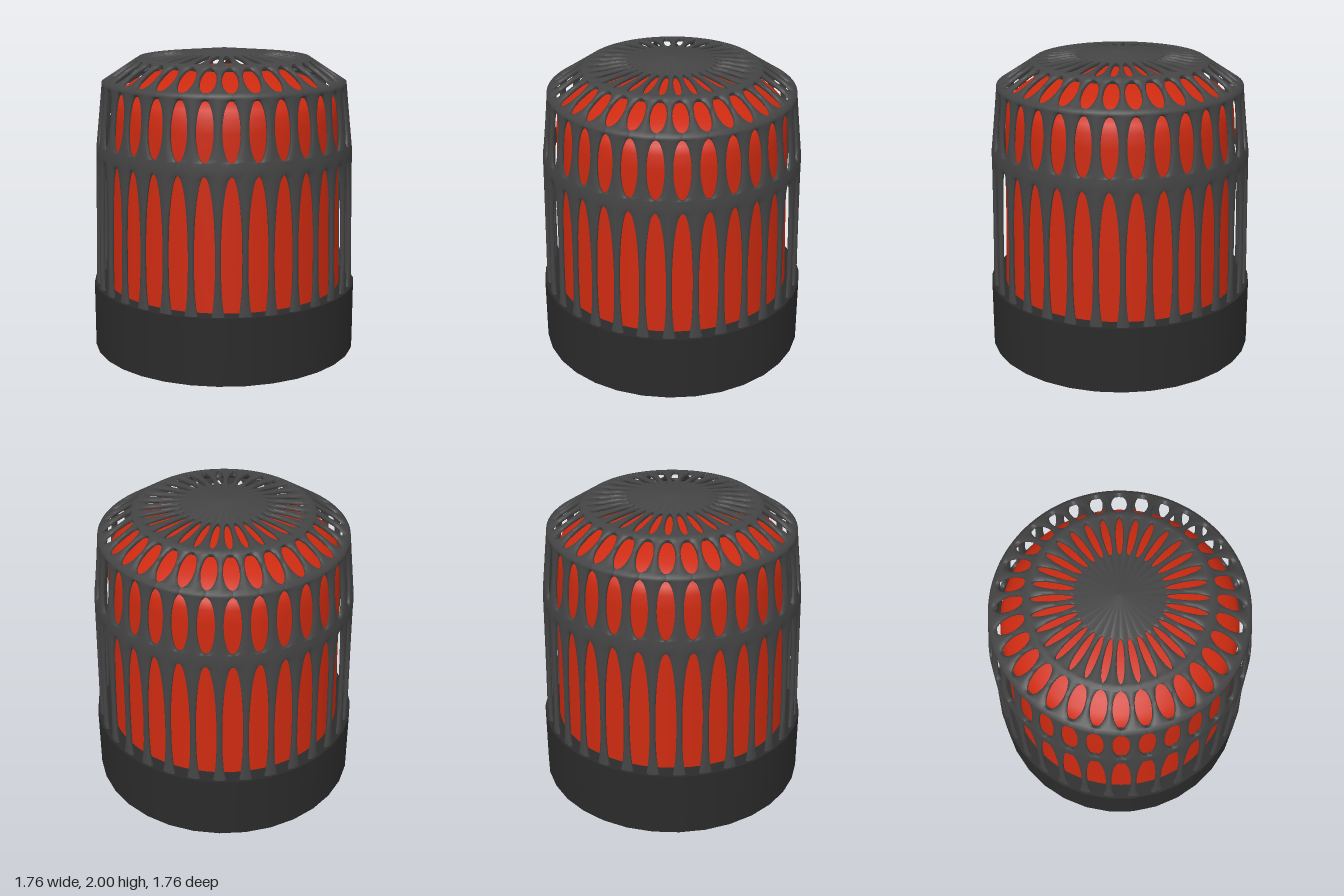
import * as THREE from 'three';
import { toCreasedNormals } from 'three/addons/utils/BufferGeometryUtils.js';

const RIBS = 32;
const THICK = 0.028;

// Outer profile of the cage, from the apex down into the base
const PROFILE = [[0.001, 2], [0.56, 1.942], [0.8, 1.785], [0.846, 1.35], [0.866, 0.34]]
  .map(([r, y]) => new THREE.Vector2(r, y));

// One ring of openings per profile segment: start, widest point and end as
// fractions of the segment, half width, and bluntness of the lower end
const OPENINGS = [
  { start: 0.48, peak: 0.76, end: 0.965, half: 0.023, blunt: 2 },
  { start: 0.08, peak: 0.5, end: 0.9, half: 0.05, blunt: 2 },
  { start: 0.04, peak: 0.48, end: 0.91, half: 0.055, blunt: 2 },
  { start: 0.04, peak: 0.53, end: 0.98, half: 0.066, blunt: 3 },
];

// Outward normal of the profile at the top of segment i, averaged at the knees
function segmentNormal(i) {
  const d = PROFILE[i + 1].clone().sub(PROFILE[i]).normalize();
  return new THREE.Vector2(-d.y, d.x);
}
function kneeNormal(i) {
  const last = PROFILE.length - 2;
  return segmentNormal(Math.max(0, i - 1)).add(segmentNormal(Math.min(last, i))).normalize();
}

// Rows along the profile, each with the half angle the rib covers there
function ribRows() {
  const rows = [];
  OPENINGS.forEach((o, i) => {
    const steps = 20;
    const fractions = [0];
    for (let k = 0; k <= steps; k++) {
      const c = -Math.cos((k / steps) * Math.PI);
      fractions.push(c < 0 ? o.peak + c * (o.peak - o.start) : o.peak + c * (o.end - o.peak));
    }
    if (i === OPENINGS.length - 1) fractions.push(1);
    for (const f of fractions) {
      const p = PROFILE[i].clone().lerp(PROFILE[i + 1], f);
      const n = kneeNormal(i).lerp(kneeNormal(i + 1), f).normalize();
      let w = 0;
      if (f > o.start && f < o.end) {
        const x = f < o.peak ? (o.peak - f) / (o.peak - o.start) : (f - o.peak) / (o.end - o.peak);
        w = o.half * Math.sqrt(Math.max(0, 1 - Math.pow(x, f < o.peak ? 2 : o.blunt)));
      }
      rows.push({ p, n, w, angle: Math.PI / RIBS - w / p.x });
    }
  });
  return rows;
}

// One rib: a loop with softened edges swept down the profile; it widens to
// meet its neighbours where there are no openings
function ribGeometry() {
  const positions = [];
  const index = [];
  const rows = ribRows();
  let size = 0;
  rows.forEach(({ p, n, w, angle }, i) => {
    const e = 0.008 * Math.min(1, w / 0.02);
    const loop = [
      [-1, e], [-0.6, 0], [0, 0], [0.6, 0], [1, e],
      [1, THICK - e], [0.6, THICK], [-0.6, THICK], [-1, THICK - e],
    ];
    size = loop.length;
    for (const [u, depth] of loop) {
      const r = Math.max(0.001, p.x - n.x * depth);
      positions.push(r * Math.sin(u * angle), p.y - n.y * depth, r * Math.cos(u * angle));
    }
    if (i === 0) return;
    for (let k = 0; k < size; k++) {
      const a = (i - 1) * size + k;
      const b = (i - 1) * size + (k + 1) % size;
      index.push(a, a + size, b, b, a + size, b + size);
    }
  });
  const geometry = new THREE.BufferGeometry();
  geometry.setAttribute('position', new THREE.Float32BufferAttribute(positions, 3));
  geometry.setIndex(index);
  return toCreasedNormals(geometry, 0.9);
}

export function createModel() {
  const model = new THREE.Group();
  model.name = 'cagedWarningLight';
  const material = (color) => new THREE.MeshStandardMaterial({ color });

  // Base
  const base = new THREE.Mesh(new THREE.CylinderGeometry(0.88, 0.88, 0.44, RIBS), material(0x2a2a2a));
  base.position.y = 0.22;
  base.name = 'base';
  model.add(base);

  // Domed lens
  const lensProfile = [
    [0.78, 0.43], [0.765, 0.9], [0.755, 1.3], [0.748, 1.55], [0.74, 1.64], [0.715, 1.69],
    [0.665, 1.735], [0.59, 1.785], [0.48, 1.825], [0.34, 1.858], [0.18, 1.876], [0, 1.882],
  ].map(([r, y]) => new THREE.Vector2(r, y));
  const lens = new THREE.Mesh(new THREE.LatheGeometry(lensProfile, 64), material(0xcc2a10));
  lens.name = 'lens';
  model.add(lens);

  // Protective cage
  const cage = new THREE.Group();
  cage.name = 'cage';
  const rib = ribGeometry();
  const cageMaterial = material(0x444444);
  for (let i = 0; i < RIBS; i++) {
    const mesh = new THREE.Mesh(rib, cageMaterial);
    mesh.rotation.y = (i / RIBS) * Math.PI * 2;
    mesh.name = 'cageRib';
    cage.add(mesh);
  }
  model.add(cage);

  return model;
}
